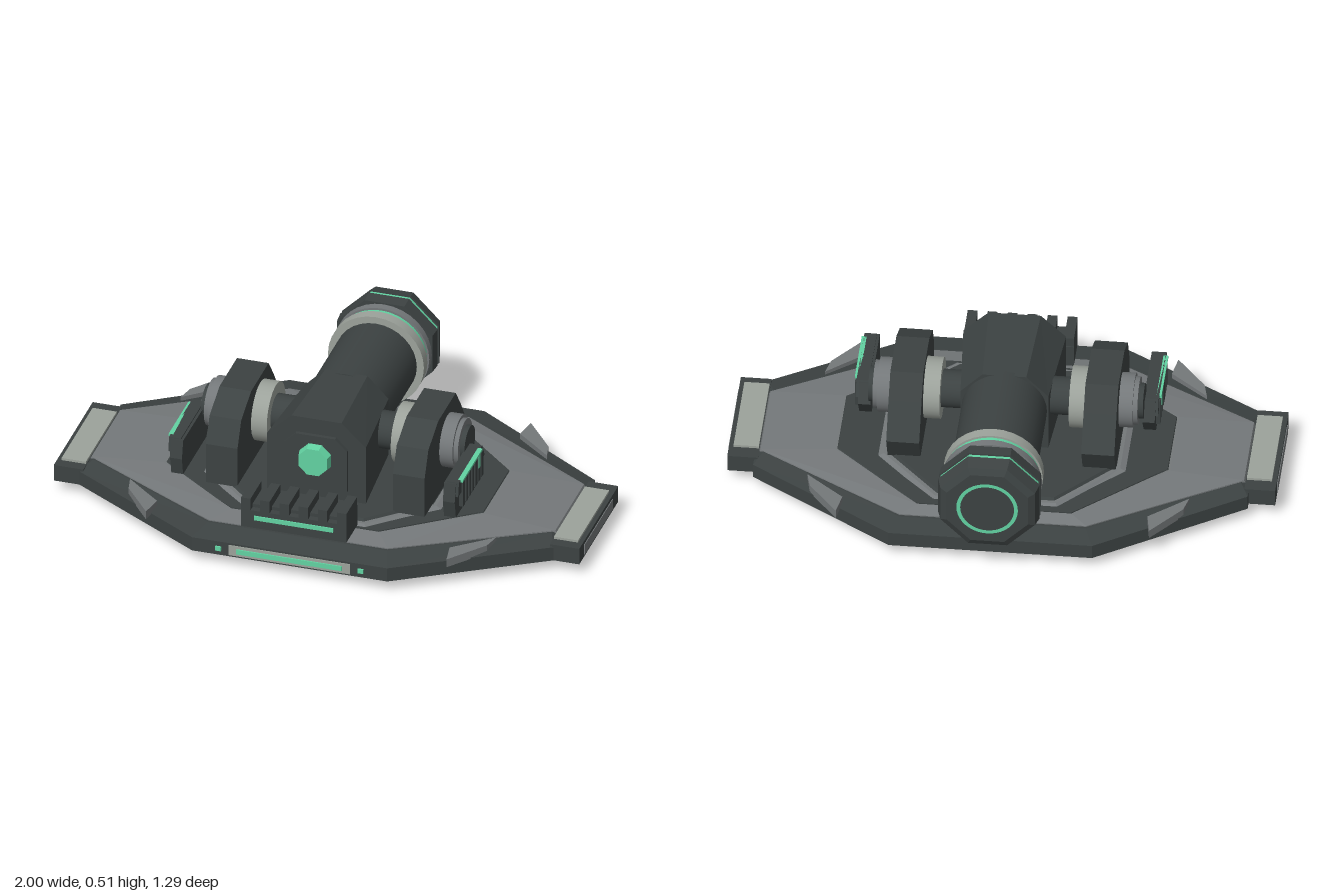
import * as THREE from 'three';

const mat = (name, color) => {
  const m = new THREE.MeshStandardMaterial({ color });
  m.name = name;
  return m;
};

// Solid lofted through rings of [x, y, z] points, capped at both ends, flat faces
function loft(rings) {
  const tris = [];
  const n = rings[0].length;
  for (let r = 0; r + 1 < rings.length; r++)
    for (let i = 0; i < n; i++) {
      const j = (i + 1) % n, a = rings[r], b = rings[r + 1];
      tris.push([a[i], a[j], b[j]], [a[i], b[j], b[i]]);
    }
  const first = rings[0], last = rings[rings.length - 1];
  for (let i = 1; i + 1 < n; i++)
    tris.push([first[0], first[i + 1], first[i]], [last[0], last[i], last[i + 1]]);
  // turn the faces outward when the enclosed volume comes out negative
  const v = (p) => new THREE.Vector3(...p);
  const volume = tris.reduce((s, [a, b, c]) => s + v(a).dot(v(b).cross(v(c))), 0);
  const flat = tris.flatMap(([a, b, c]) => (volume < 0 ? [...a, ...c, ...b] : [...a, ...b, ...c]));
  const geo = new THREE.BufferGeometry();
  geo.setAttribute('position', new THREE.Float32BufferAttribute(flat, 3));
  geo.computeVertexNormals();
  return geo;
}

// Left/right symmetric octagon at height y: front edge, side edge, back edge
const octagon = (y, xEnd, xSide, zFront, zSideF, zSideB, zBack) => {
  const half = [[xEnd, zFront], [xSide, zSideF], [xSide, zSideB], [xEnd, zBack]];
  return [...half, ...half.map(([x, z]) => [-x, z]).reverse()].map(([x, z]) => [x, y, z]);
};

export function createModel() {
  const dark = mat('dark gunmetal', 0x3c4242);
  const grey = mat('steel grey', 0x74787a);
  const pale = mat('pale metal', 0x9ca29b);
  const green = mat('glowing green', 0x62d3a2);

  const model = new THREE.Group();
  const add = (name, geo, material, parent = model) => {
    const mesh = new THREE.Mesh(geo, material);
    mesh.name = name;
    parent.add(mesh);
    return mesh;
  };
  // Box given by its limits on each axis
  const box = (name, material, x0, x1, y0, y1, z0, z1, parent) =>
    add(name, new THREE.BoxGeometry(x1 - x0, y1 - y0, z1 - z0)
      .translate((x0 + x1) / 2, (y0 + y1) / 2, (z0 + z1) / 2), material, parent);

  // Stepped base
  add('baseFoot', loft([
    octagon(0, 0.24, 0.65, 0.46, 0.23, -0.13, -0.355),
    octagon(0.047, 0.25, 0.67, 0.48, 0.24, -0.14, -0.375)]), dark);
  add('baseRim', loft([
    octagon(0.045, 0.37, 0.9, 0.635, 0.31, -0.19, -0.54),
    octagon(0.1, 0.37, 0.9, 0.635, 0.31, -0.19, -0.54),
    octagon(0.116, 0.34, 0.87, 0.54, 0.24, -0.13, -0.46)]), dark);
  add('deckRing', loft([
    octagon(0.11, 0.34, 0.885, 0.53, 0.225, -0.12, -0.45),
    octagon(0.12, 0.34, 0.88, 0.53, 0.225, -0.12, -0.45),
    octagon(0.134, 0.28, 0.61, 0.45, 0.21, -0.11, -0.4)]), grey);
  add('innerDeck', loft([
    octagon(0.12, 0.28, 0.61, 0.45, 0.21, -0.11, -0.4),
    octagon(0.138, 0.28, 0.6, 0.45, 0.205, -0.105, -0.4)]), dark);
  add('turntableTrim', loft([
    octagon(0.13, 0.23, 0.47, 0.45, 0.24, -0.14, -0.38),
    octagon(0.146, 0.22, 0.43, 0.43, 0.23, -0.13, -0.36)]), grey);
  add('turntable', loft([
    octagon(0.14, 0.215, 0.42, 0.42, 0.225, -0.125, -0.35),
    octagon(0.156, 0.21, 0.41, 0.41, 0.22, -0.12, -0.34)]), dark);

  // Light bar on the front edge
  box('frontBarFrame', pale, -0.23, 0.23, 0.052, 0.093, 0.632, 0.639);
  box('frontBarLight', green, -0.2, 0.2, 0.063, 0.082, 0.636, 0.644);
  for (const s of [-1, 1])
    box('frontBarDot', green, s * 0.27 - 0.011, s * 0.27 + 0.011, 0.064, 0.081, 0.632, 0.642);

  // Gun housing, tapering toward the barrel
  const section = (z, w, shoulder, topW, top, bottom) =>
    [[w, bottom], [w, shoulder], [topW, top], [-topW, top], [-w, shoulder], [-w, bottom]]
      .map(([x, y]) => [x, y, z]);
  add('gunHousing', loft([
    section(0.31, 0.187, 0.39, 0.095, 0.478, 0.153),
    section(-0.05, 0.16, 0.39, 0.08, 0.472, 0.155)]), dark);
  add('housingFace', loft([
    section(0.325, 0.12, 0.37, 0.075, 0.415, 0.2),
    section(0.305, 0.12, 0.37, 0.075, 0.415, 0.2)]), dark);

  // Parts turned around the gun axis: [name, material, z front, z back, radius front, radius back, sides]
  const axisY = 0.322;
  const turned = (name, material, z0, z1, r0, r1, sides) => {
    const geo = new THREE.CylinderGeometry(r0, r1, z0 - z1, sides)
      .rotateY(Math.PI / 8).rotateX(Math.PI / 2).translate(0, axisY, (z0 + z1) / 2);
    const mesh = add(name, sides === 8 ? geo.toNonIndexed() : geo, material);
    if (sides === 8) mesh.geometry.computeVertexNormals();
  };
  turned('barrel', dark, -0.03, -0.42, 0.155, 0.155, 32);
  turned('barrelCollar', pale, -0.407, -0.449, 0.182, 0.182, 32);
  turned('collarLight', green, -0.449, -0.472, 0.174, 0.174, 32);
  turned('barrelBand', grey, -0.472, -0.503, 0.182, 0.182, 32);
  turned('muzzleNeck', dark, -0.503, -0.515, 0.15, 0.15, 32);
  turned('muzzleBase', dark, -0.512, -0.563, 0.196, 0.2, 8);
  turned('muzzleLight', green, -0.563, -0.583, 0.193, 0.193, 8);
  turned('muzzleCap', dark, -0.583, -0.632, 0.2, 0.186, 8);
  turned('muzzleTip', dark, -0.632, -0.645, 0.186, 0.16, 8);
  turned('rearLens', green, 0.356, 0.32, 0.058, 0.066, 8);
  add('muzzleRingLight', new THREE.RingGeometry(0.098, 0.112, 40)
    .rotateY(Math.PI).translate(0, axisY, -0.647), green);

  // Vent block in front of the gun
  const vent = new THREE.Group();
  vent.name = 'frontVent';
  model.add(vent);
  box('ventBody', dark, -0.2, 0.2, 0.15, 0.222, 0.45, 0.585, vent);
  box('ventBack', dark, -0.2, 0.2, 0.22, 0.235, 0.45, 0.56, vent);
  for (let i = 0; i < 6; i++) {
    const x = -0.182 + i * 0.0728;
    box('ventFin', dark, x - 0.018, x + 0.018, 0.22, 0.27, 0.455, 0.585, vent);
  }
  box('ventLight', green, -0.15, 0.15, 0.185, 0.202, 0.582, 0.59, vent);

  // Side plates cut from a [z, y] outline, between two x limits
  const plate = (outline, x0, x1) =>
    loft([x0, x1].map((x) => outline.map(([z, y]) => [x, y, z])));
  const cheek = [[0.325, 0.15], [0.325, 0.31], [0.28, 0.405], [0.16, 0.46],
    [-0.05, 0.46], [-0.115, 0.375], [-0.195, 0.25], [-0.145, 0.15]];
  const pod = [[0.345, 0.18], [0.36, 0.25], [0.345, 0.32], [0.05, 0.32], [0.015, 0.25], [0.065, 0.18]];
  const podCap = [[0.35, 0.27], [0.34, 0.325], [0.06, 0.325], [0.03, 0.27]];
  const shard = [[0.57, 0.51], [0.555, 0.425], [0.62, 0.37], [0.695, 0.305], [0.68, 0.37]];

  for (const s of [1, -1]) {
    const side = new THREE.Group();
    side.name = s > 0 ? 'leftSide' : 'rightSide';
    model.add(side);
    const sbox = (name, m, x0, x1, ...rest) =>
      box(name, m, Math.min(s * x0, s * x1), Math.max(s * x0, s * x1), ...rest, side);
    const disc = (name, m, x0, x1, r) =>
      add(name, new THREE.CylinderGeometry(r, r, x1 - x0, 32)
        .rotateZ(Math.PI / 2).translate(s * (x0 + x1) / 2, axisY, 0.05), m, side);

    // End block of the base with its pale panels
    sbox('endBlock', dark, 0.885, 0.997, 0.045, 0.11, -0.16, 0.31);
    sbox('endTopPanel', pale, 0.888, 0.98, 0.111, 0.12, -0.105, 0.27);
    sbox('endFacePanel', grey, 0.994, 1.0, 0.055, 0.096, -0.09, 0.253);

    // Cradle cheek and its trunnion discs
    add('cradleCheek', plate(cheek, s * 0.295, s * 0.415), dark, side);
    disc('axle', dark, 0.15, 0.24, 0.07);
    disc('innerDisc', pale, 0.235, 0.3, 0.113);
    disc('outerDisc', grey, 0.41, 0.465, 0.1);
    disc('outerHub', grey, 0.46, 0.482, 0.088);
    disc('hubCore', dark, 0.47, 0.5, 0.065);

    // Ribbed side pod with a light strip
    add('sidePod', plate(pod, s * 0.495, s * 0.54), dark, side);
    add('sidePodCap', plate(podCap, s * 0.505, s * 0.55), dark, side);
    for (let i = 0; i < 7; i++) {
      const z = 0.075 + i * 0.037;
      sbox('podRib', dark, 0.53, 0.556, 0.208, 0.312, z - 0.011, z + 0.011);
    }
    sbox('podLight', green, 0.54, 0.558, 0.316, 0.325, 0.08, 0.32);
    sbox('podLightDrop', green, 0.55, 0.558, 0.265, 0.318, 0.105, 0.122);

    // Pointed flakes at the four slanted corners
    for (const d of [1, -1])
      add('cornerFlake', loft([0.095, 0.128].map((y) =>
        shard.map(([x, z]) => [s * x, y, 0.045 + d * z]))), grey, side);
  }
  return model;
}
